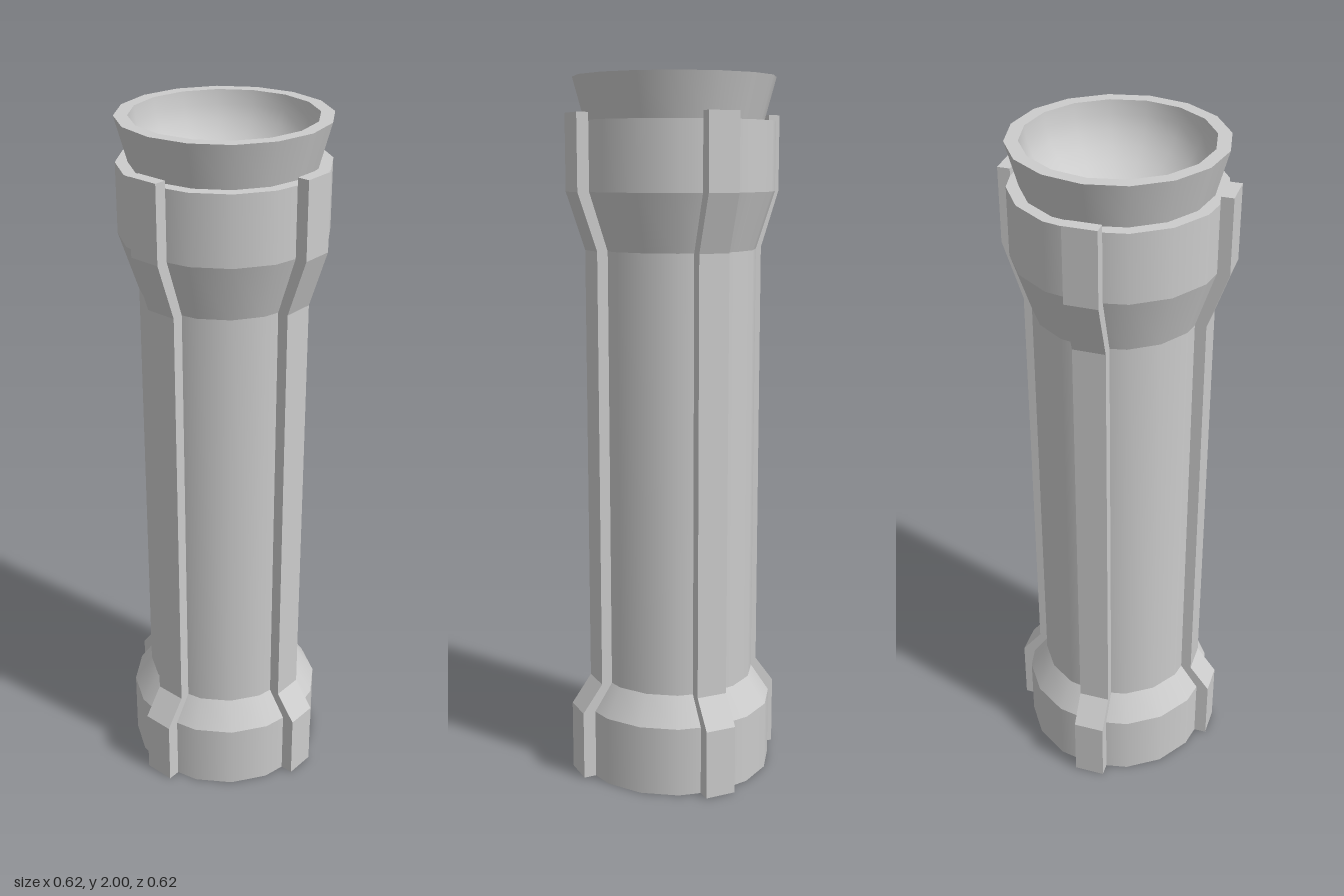
import * as THREE from 'three';
import { mergeGeometries } from 'three/addons/utils/BufferGeometryUtils.js';

const SIDES = 16;
const material = new THREE.MeshStandardMaterial({ color: 0xcccccc, side: THREE.DoubleSide });

// Revolved bands, smooth around the axis and sharp between neighbouring bands
function bands(name, profile) {
  const parts = [];
  for (let i = 0; i < profile.length - 1; i++) {
    const pts = [profile[i], profile[i + 1]].map(([r, y]) => new THREE.Vector2(r, y));
    parts.push(new THREE.LatheGeometry(pts, SIDES));
  }
  const mesh = new THREE.Mesh(mergeGeometries(parts), material);
  mesh.name = name;
  return mesh;
}

export function createModel() {
  const group = new THREE.Group();
  group.name = 'column';

  // Open-bottomed shaft with flared foot and head, closed by a narrow ledge
  group.add(bands('shaft', [
    [0.284, 0], [0.284, 0.2], [0.231, 0.28], [0.231, 1.53],
    [0.283, 1.69], [0.283, 1.88], [0.25, 1.88],
  ]));

  // Flared collar and its flat rim
  group.add(bands('collar', [[0.25, 1.88], [0.283, 2], [0.247, 2]]));

  // Smooth bowl sunk into the collar
  const bowlPoints = [];
  const depth = 0.2;
  for (let i = 0; i <= 8; i++) {
    const a = (i / 8) * Math.PI / 2;
    bowlPoints.push(new THREE.Vector2(0.247 * Math.cos(a), 2 - depth * Math.sin(a)));
  }
  const bowl = new THREE.Mesh(new THREE.LatheGeometry(bowlPoints, SIDES), material);
  bowl.name = 'bowl';
  group.add(bowl);

  // Four ribs following the outline of the shaft
  const ribShape = new THREE.Shape([
    [0.274, 0], [0.312, 0], [0.312, 0.2], [0.253, 0.28], [0.253, 1.53], [0.308, 1.69],
    [0.308, 1.9], [0.274, 1.9], [0.274, 1.69], [0.222, 1.53], [0.222, 0.28], [0.274, 0.2],
  ].map(([x, y]) => new THREE.Vector2(x, y)));
  const ribGeometry = new THREE.ExtrudeGeometry(ribShape, { depth: 0.09, bevelEnabled: false });
  ribGeometry.translate(0, 0, -0.045);
  ['leftRib', 'backRib', 'rightRib', 'frontRib'].forEach((name, i) => {
    const rib = new THREE.Mesh(ribGeometry, material);
    rib.name = name;
    rib.rotation.y = i * Math.PI / 2;
    group.add(rib);
  });

  return group;
}
